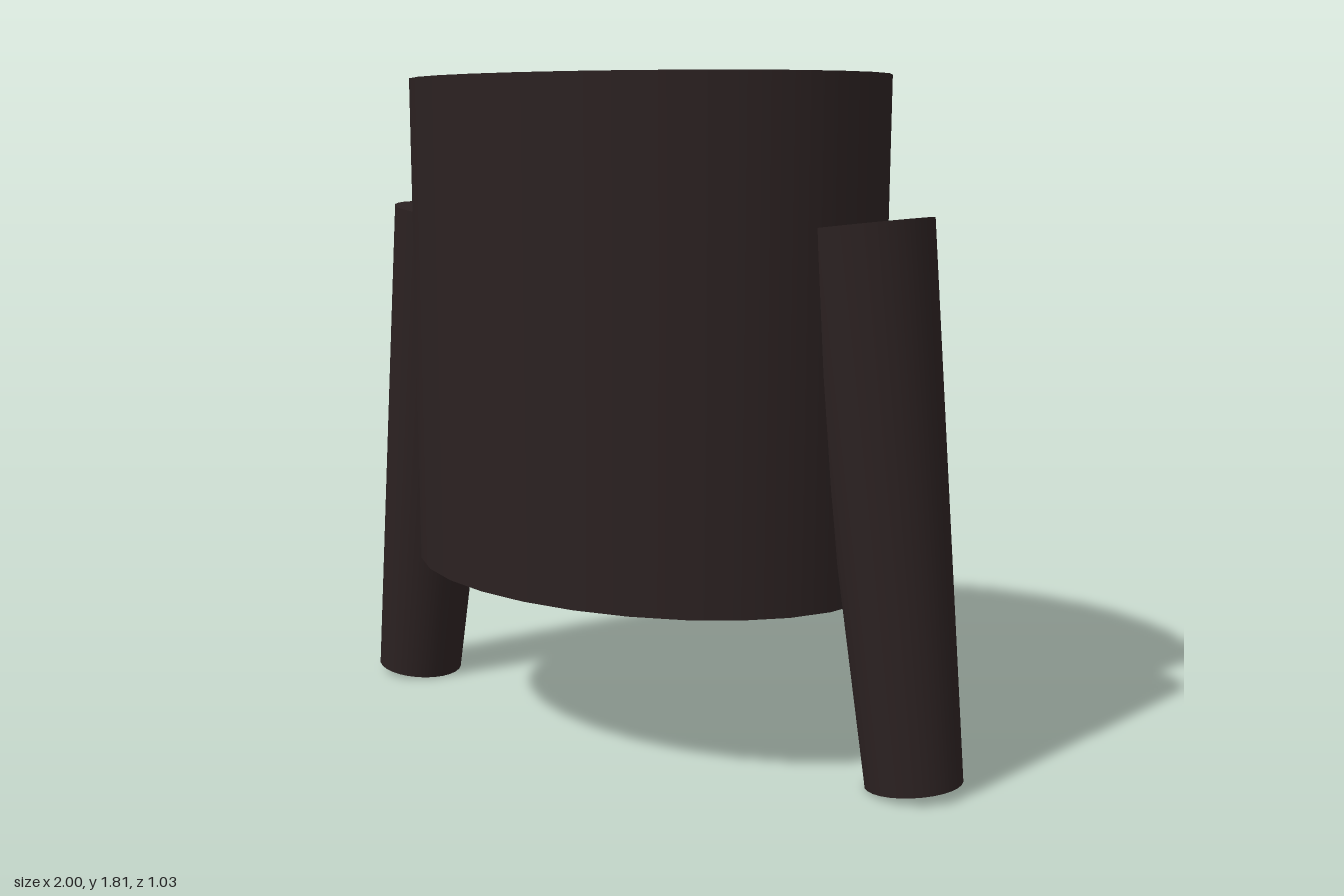
import * as THREE from 'three';

export function createModel() {
  const model = new THREE.Group();
  model.name = 'shirt';
  const cloth = new THREE.MeshStandardMaterial({ color: 0x2b2121 });
  cloth.name = 'dark brown cloth';

  // Torso: slightly tapered oval cylinder
  const torso = new THREE.Mesh(new THREE.CylinderGeometry(1, 0.985, 1.35, 28), cloth);
  torso.name = 'torso';
  torso.scale.set(0.716, 1, 0.515);
  torso.position.y = 1.135;
  model.add(torso);

  // Sleeves: tapered cylinders that lean outward towards the cuffs
  const up = new THREE.Vector3(0, 1, 0);
  for (const [side, name] of [[1, 'leftSleeve'], [-1, 'rightSleeve']]) {
    const shoulder = new THREE.Vector3(side * 0.702, 1.437, 0);
    const cuff = new THREE.Vector3(side * 0.875, 0.0155, 0);
    const axis = shoulder.clone().sub(cuff);
    const sleeve = new THREE.Mesh(new THREE.CylinderGeometry(0.174, 0.126, axis.length(), 28), cloth);
    sleeve.name = name;
    sleeve.position.copy(shoulder).add(cuff).multiplyScalar(0.5);
    sleeve.quaternion.setFromUnitVectors(up, axis.normalize());
    model.add(sleeve);
  }
  return model;
}
